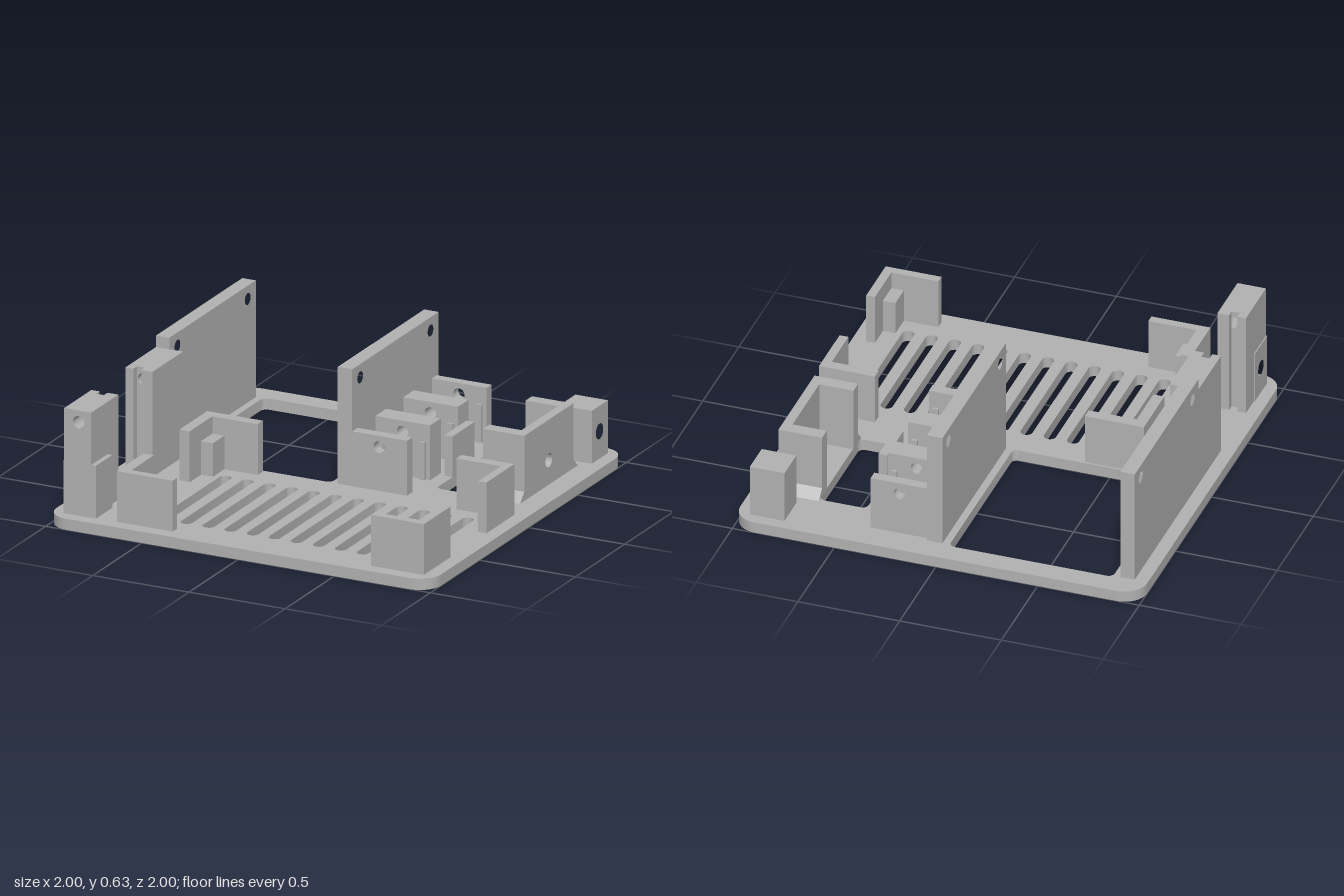
import * as THREE from 'three';
import { toCreasedNormals } from 'three/addons/utils/BufferGeometryUtils.js';

const T = 0.055; // top of the base plate

export function createModel() {
  const model = new THREE.Group();
  model.name = 'mountingFrame';
  const grey = new THREE.MeshStandardMaterial({ color: 0xb2b2b2 });
  grey.name = 'grey plastic';

  const add = (name, geometry, parent = model) => {
    const mesh = new THREE.Mesh(geometry, grey);
    mesh.name = name;
    parent.add(mesh);
    return mesh;
  };
  const group = (name) => {
    const g = new THREE.Group();
    g.name = name;
    model.add(g);
    return g;
  };
  // box given by its limits
  const box = (name, x0, x1, y0, y1, z0, z1, parent) => {
    const g = new THREE.BoxGeometry(x1 - x0, y1 - y0, z1 - z0);
    g.translate((x0 + x1) / 2, (y0 + y1) / 2, (z0 + z1) / 2);
    return add(name, g, parent);
  };
  const circle = (u, v, r) => new THREE.Path().absarc(u, v, r, 0, Math.PI * 2, true);
  const roundRect = (path, u0, v0, u1, v1, r) => {
    path.absarc(u1 - r, v1 - r, r, 0, Math.PI / 2);
    path.absarc(u0 + r, v1 - r, r, Math.PI / 2, Math.PI);
    path.absarc(u0 + r, v0 + r, r, Math.PI, Math.PI * 1.5);
    path.absarc(u1 - r, v0 + r, r, Math.PI * 1.5, Math.PI * 2);
    path.closePath();
    return path;
  };
  const extrude = (shape, depth) => new THREE.ExtrudeGeometry(shape, { depth, bevelEnabled: false, curveSegments: 16 });
  const polygon = (points) => new THREE.Shape(points.map(([u, v]) => new THREE.Vector2(u, v)));

  // slab in the x-y plane with round holes [x, y, r] running along z
  const slabZ = (name, x0, x1, y0, y1, z0, z1, holes, parent) => {
    const s = polygon([[x0, y0], [x1, y0], [x1, y1], [x0, y1]]);
    s.holes = holes.map((h) => circle(...h));
    const g = extrude(s, z1 - z0).translate(0, 0, z0);
    return add(name, toCreasedNormals(g, 0.6), parent);
  };
  // slab from a (z, y) outline with round holes [z, y, r] running along x
  const slabX = (name, outline, x0, x1, holes, parent) => {
    const s = polygon(outline.map(([z, y]) => [-z, y]));
    s.holes = holes.map(([z, y, r]) => circle(-z, y, r));
    const g = extrude(s, x1 - x0).rotateY(Math.PI / 2).translate(x0, 0, 0);
    return add(name, toCreasedNormals(g, 0.6), parent);
  };
  const rect = (z0, z1, y0, y1) => [[z0, y0], [z1, y0], [z1, y1], [z0, y1]];

  // base plate with windows, button holes and vent slots (v = -z)
  const plate = roundRect(new THREE.Shape(), -1, -1, 1, 1, 0.11);
  plate.holes.push(roundRect(new THREE.Path(), -0.83, 0, -0.025, 0.89, 0.03));
  plate.holes.push(roundRect(new THREE.Path(), 0.443, 0.15, 0.675, 0.71, 0.03));
  for (const z of [-0.717, -0.432, -0.147]) plate.holes.push(circle(0.226, -z, 0.08));
  for (let i = 0; i < 12; i++) {
    const x = -0.49 + i * 0.1145;
    plate.holes.push(roundRect(new THREE.Path(), x - 0.029, -0.813, x + 0.029, -0.14, 0.0285));
  }
  add('basePlate', toCreasedNormals(extrude(plate, T).rotateX(-Math.PI / 2), 0.6));

  // tall screen walls either side of the big window
  for (const [name, x0, x1] of [['rightScreenWall', -0.935, -0.865], ['leftScreenWall', 0.01, 0.085]]) {
    slabX(name, rect(-0.88, 0.002, T, 0.63), x0, x1, [[-0.08, 0.565, 0.029], [-0.797, 0.565, 0.029]]);
  }

  // grooved posts, the front one standing in a corner block
  const rails = (z0, z1, parent) => {
    box('grooveRail', -0.935, -0.893, T, 0.573, z0, z1, parent);
    box('grooveRail', -0.852, -0.795, T, 0.573, z0, z1, parent);
  };
  const screw = [-0.86, 0.515, 0.03];
  const middlePost = group('middlePost');
  box('postBody', -0.935, -0.795, T, 0.573, 0, 0.15, middlePost);
  slabZ('postBoredBody', -0.935, -0.795, T, 0.573, 0.15, 0.275, [screw], middlePost);
  rails(0.275, 0.314, middlePost);

  const frontPost = group('frontPost');
  slabZ('postTop', -0.935, -0.795, 0.3, 0.573, 0.695, 0.937, [screw], frontPost);
  box('postFoot', -0.935, -0.795, T, 0.3, 0.695, 0.78, frontPost);
  rails(0.66, 0.695, frontPost);

  // corner blocks with a blind screw hole in the outer side
  const frontBlock = group('frontCornerBlock');
  slabX('boredHalf', rect(0.77, 0.937, T, 0.315), -0.94, -0.85, [[0.853, 0.19, 0.038]], frontBlock);
  box('solidHalf', -0.85, -0.77, T, 0.315, 0.77, 0.937, frontBlock);
  const backBlock = group('backCornerBlock');
  slabX('boredHalf', rect(-0.94, -0.775, T, 0.315), 0.845, 0.935, [[-0.853, 0.19, 0.038]], backBlock);
  box('solidHalf', 0.765, 0.845, T, 0.315, -0.94, -0.775, backBlock);

  // four L-shaped brackets with a small seat in the corner
  for (const sx of [-1, 1]) {
    for (const sz of [-1, 1]) {
      const g = group('cornerBracket');
      const cx = sx < 0 ? -0.664 : 0.932, cz = sz < 0 ? 0.01 : 0.932;
      const tx = sx < 0 ? 0.054 : 0.043, tz = sz < 0 ? 0.054 : 0.043;
      const part = (name, a0, a1, y1, b0, b1) => {
        const xs = [cx - sx * a0, cx - sx * a1].sort((p, q) => p - q);
        const zs = [cz - sz * b0, cz - sz * b1].sort((p, q) => p - q);
        box(name, xs[0], xs[1], T, y1, zs[0], zs[1], g);
      };
      part('bracketArmAcross', 0, sx < 0 ? 0.29 : 0.274, 0.305, 0, tz);
      part('bracketArmAlong', 0, tx, 0.305, tz, sz < 0 ? 0.285 : 0.27);
      part('bracketSeat', tx, tx + 0.062, 0.22, tz, tz + 0.116);
    }
  }

  // button rack: drilled dividers with small guide ribs facing the round holes
  const rack = group('buttonRack');
  [[-0.86, -0.81, 0, 1], [-0.627, -0.52, 1, 1], [-0.343, -0.235, 1, 1], [-0.053, 0.002, 1, 0]].forEach(([z0, z1, back, front]) => {
    slabZ('divider', 0.085, 0.37, T, 0.325, z0, z1, [[0.226, 0.27, 0.029]], rack);
    for (const x of [0.107, 0.32]) {
      if (back) box('guideRib', x, x + 0.028, T, 0.24, z0 - 0.015, z0, rack);
      if (front) box('guideRib', x, x + 0.028, T, 0.24, z1, z1 + 0.015, rack);
    }
  });

  // drilled tab beside the small window
  slabX('socketTab', rect(-0.543, -0.32, T, 0.255), 0.401, 0.443, [[-0.43, 0.175, 0.034]]);

  // socket holder: C-shaped walls with chamfered feet
  const holder = group('socketHolder');
  const left = [[-0.725, T], [-0.68, 0.1], [-0.68, 0.375]];
  const right = [[-0.18, 0.375], [-0.18, 0.1], [-0.137, T]];
  slabX('holderBack', [...left, ...right], 0.84, 0.887, [[-0.43, 0.175, 0.034]], holder);
  slabX('holderRearArm', [...left, [-0.615, 0.375], [-0.615, T]], 0.672, 0.84, [], holder);
  slabX('holderFrontArm', [[-0.245, T], [-0.245, 0.375], ...right], 0.672, 0.84, [], holder);

  return model;
}
